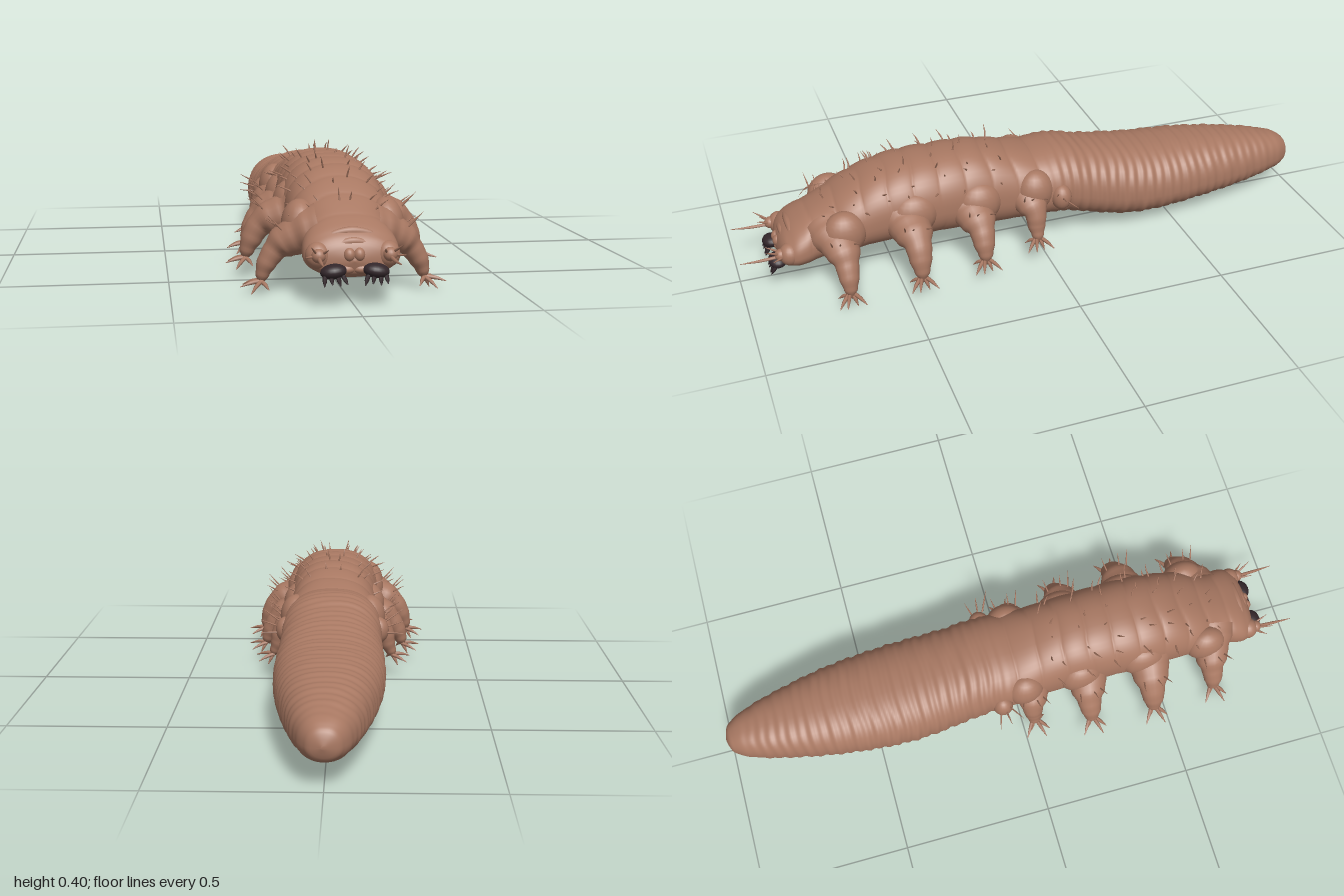
import * as THREE from 'three';
import { mergeGeometries, mergeVertices } from 'three/addons/utils/BufferGeometryUtils.js';

const skin = new THREE.MeshStandardMaterial({ color: 0xa87862 });
skin.name = 'brown skin';
const dark = new THREE.MeshStandardMaterial({ color: 0x32262a });
dark.name = 'dark jaw';

// Body stations along z: half-width, top, bottom
const STATIONS = [
  [-1, 0.008, 0.14, 0.125], [-0.992, 0.035, 0.165, 0.1], [-0.97, 0.058, 0.188, 0.08],
  [-0.9, 0.09, 0.213, 0.064], [-0.8, 0.118, 0.235, 0.05], [-0.6, 0.157, 0.262, 0.035],
  [-0.4, 0.174, 0.275, 0.026], [-0.3, 0.172, 0.29, 0.034], [-0.2, 0.166, 0.308, 0.058],
  [-0.1, 0.164, 0.332, 0.085], [0, 0.16, 0.33, 0.092], [0.1, 0.152, 0.35, 0.088],
  [0.2, 0.152, 0.37, 0.09], [0.32, 0.155, 0.372, 0.095], [0.45, 0.157, 0.368, 0.098],
  [0.55, 0.152, 0.347, 0.098], [0.65, 0.145, 0.305, 0.09], [0.73, 0.125, 0.263, 0.08],
  [0.79, 0.136, 0.232, 0.075], [0.83, 0.132, 0.208, 0.076], [0.855, 0.112, 0.185, 0.085],
  [0.868, 0.07, 0.16, 0.1], [0.875, 0.004, 0.132, 0.126],
];
const profile = new THREE.CubicInterpolant(
  STATIONS.map((s) => s[0]), STATIONS.flatMap((s) => s.slice(1)), 3, new Float32Array(3));
const smooth = THREE.MathUtils.smoothstep;
const power = (v, e) => Math.sign(v) * Math.abs(v) ** e;

// Skin folds: fine rings on the abdomen, broad creased plates on the thorax
function folds(z, a) {
  const back = 1 - smooth(z, -0.1, 0.0);
  const wob = 0.7 * Math.sin(3 * a + 6 * z) + 0.5 * Math.sin(5 * a - 11 * z);
  const rings = 0.013 * Math.sin((z * 2 * Math.PI) / 0.034 + wob)
    + 0.008 * Math.sin((z * 2 * Math.PI) / 0.081 - wob);
  const plates = 0.045 * (Math.sqrt(Math.abs(Math.sin((z * Math.PI) / 0.085 + 0.25 * wob))) - 0.75);
  const upper = 0.35 + 0.65 * Math.max(0, Math.sin(a));
  return 1 + rings * back * smooth(z, -1, -0.85) + plates * (1 - back) * upper * (1 - smooth(z, 0.82, 0.87));
}

function bodyPoint(z, a) {
  const [w, top, bottom] = profile.evaluate(z);
  const c = Math.cos(a), s = Math.sin(a);
  const mid = bottom + (top - bottom) * 0.44;
  const e = s > 0 ? 0.86 : 0.95;
  const k = folds(z, a);
  return new THREE.Vector3(
    w * power(c, e) * k, mid + (s > 0 ? top - mid : mid - bottom) * power(s, e) * k, z);
}

function bodyGeometry() {
  const rings = 440, sides = 48, pos = [], index = [];
  for (let i = 0; i <= rings; i++) {
    const z = -1 + (1.875 * i) / rings;
    for (let j = 0; j < sides; j++) pos.push(...bodyPoint(z, (j / sides) * Math.PI * 2).toArray());
  }
  for (let i = 0; i < rings; i++) {
    for (let j = 0; j < sides; j++) {
      const a = i * sides + j, b = i * sides + ((j + 1) % sides);
      index.push(a, b, a + sides, b, b + sides, a + sides);
    }
  }
  // close both ends
  const last = rings * sides;
  for (let j = 1; j < sides - 1; j++) {
    index.push(0, j + 1, j, last, last + j, last + j + 1);
  }
  const g = new THREE.BufferGeometry();
  g.setAttribute('position', new THREE.Float32BufferAttribute(pos, 3));
  g.setIndex(index);
  g.computeVertexNormals();
  return g;
}

// Tube with a varying radius, optionally stretched along z
function taper(points, radii, steps, sides, zStretch = 1) {
  const curve = new THREE.CatmullRomCurve3(points.map((p) => new THREE.Vector3(...p)));
  const g = new THREE.TubeGeometry(curve, steps, 1, sides);
  const p = g.attributes.position, v = new THREE.Vector3();
  for (let i = 0; i <= steps; i++) {
    const c = curve.getPointAt(i / steps);
    const f = (i / steps) * (radii.length - 1), n = Math.min(Math.floor(f), radii.length - 2);
    const t = f - n;
    const r = THREE.MathUtils.lerp(radii[n], radii[n + 1], radii.length > 3 ? t * t * (3 - 2 * t) : t);
    for (let j = 0; j <= sides; j++) {
      const k = i * (sides + 1) + j;
      v.fromBufferAttribute(p, k).sub(c).multiplyScalar(r);
      p.setXYZ(k, c.x + v.x, c.y + v.y, c.z + v.z * zStretch);
    }
  }
  g.deleteAttribute('uv');
  g.deleteAttribute('normal');
  const out = mergeVertices(g, 1e-5);
  out.computeVertexNormals();
  return out;
}

// Thin curved spike from a base along a direction, bending by an offset
function spike(base, dir, r, bend = [0, 0, 0]) {
  const at = (t) => base.map((b, i) => b + dir[i] * t + bend[i] * t * t);
  return taper([at(0), at(0.5), at(1)], [r, r * 0.85, r * 0.15], 6, 6);
}

export function createModel() {
  const model = new THREE.Group();
  model.name = 'mite';
  const add = (name, geometry, material = skin, parent = model) => {
    const m = new THREE.Mesh(geometry, material);
    m.name = name;
    parent.add(m);
    return m;
  };
  const blob = (name, x, y, z, sx, sy, sz, material = skin) => {
    const m = add(name, new THREE.SphereGeometry(1, 20, 14), material);
    m.position.set(x, y, z);
    m.scale.set(sx, sy, sz);
    return m;
  };

  add('body', bodyGeometry());

  // Legs: z, foot x, foot y, knee x, knee y, size
  const LEGS = [
    [0.68, 0.24, 0.045, 0.185, 0.145, 0.92], [0.45, 0.265, 0.07, 0.215, 0.17, 1.05],
    [0.23, 0.245, 0.075, 0.195, 0.165, 1], [0.035, 0.205, 0.09, 0.175, 0.17, 0.85],
  ];
  for (const s of [1, -1]) {
    const side = s > 0 ? 'left' : 'right';
    LEGS.forEach(([z, fx, fy, kx, ky, k], i) => {
      const leg = new THREE.Group();
      leg.name = `${side}Leg${i + 1}`;
      model.add(leg);
      add('limb', taper(
        [[s * 0.07, ky + 0.045, z + 0.02], [s * 0.13, ky + 0.03, z + 0.01], [s * kx, ky, z],
          [s * (fx - 0.015), (ky + fy) / 2 - 0.005, z], [s * fx, fy, z], [s * (fx + 0.006), fy - 0.022, z]],
        [0.085, 0.078, 0.06, 0.053, 0.037, 0.032, 0.022, 0].map((r) => r * k), 36, 20, 1.12), skin, leg);
      // Hip fold behind the limb
      const hip = add('hip', new THREE.SphereGeometry(1, 20, 14), skin, leg);
      hip.position.set(s * 0.125, ky + 0.055, z - 0.015);
      hip.scale.set(0.055, 0.075, 0.078 * k);
      // Claws fan out from the foot
      const claws = [[0.062, -0.012, 0.02], [0.05, -0.018, -0.03], [0.032, -0.03, 0.035],
        [0.02, -0.036, -0.012], [-0.02, -0.022, 0.03]];
      add('claws', mergeGeometries(claws.map(([x, y, dz]) => spike(
        [s * fx, fy - 0.004, z + dz * 0.3], [s * x, y + 0.012, dz], 0.007, [0, -0.012, 0]))), skin, leg);
      // Bristles on the outer knee
      add('legBristles', mergeGeometries([-0.03, 0.012, 0.035].map((dz, n) => spike(
        [s * (kx - 0.01), ky + 0.04, z + dz], [s * 0.05, 0.03 + 0.012 * n, dz * 0.4], 0.003))), skin, leg);
    });

    // Flank bump behind the last leg
    blob(`${side}FlankBump`, s * 0.155, 0.2, -0.065, 0.036, 0.045, 0.035);
    add(`${side}FlankBristles`, mergeGeometries([-0.012, 0.004, 0.02].map((d) => spike(
      [s * 0.18, 0.205 + d, -0.065 + d], [s * 0.06, 0.016 + d, d * 1.5], 0.003))));

    // Dark jaws with small teeth
    blob(`${side}Jaw`, s * 0.06, 0.103, 0.878, 0.037, 0.021, 0.03, dark).rotation.z = s * -0.12;
    add(`${side}JawTeeth`, mergeGeometries([-0.025, -0.008, 0.01, 0.025].map((x, n) => spike(
      [s * 0.06 + x, 0.092, 0.89], [x * 0.3 - s * 0.004, -0.026 + 0.004 * (n % 2), 0.016], 0.007))), dark);

    // Feelers beside the jaws
    blob(`${side}Cheek`, s * 0.098, 0.142, 0.842, 0.036, 0.038, 0.034);
    blob(`${side}FeelerBase`, s * 0.1, 0.146, 0.87, 0.02, 0.02, 0.02);
    add(`${side}Feelers`, mergeGeometries([
      spike([s * 0.1, 0.14, 0.875], [s * 0.005, -0.008, 0.125], 0.006, [0, 0.01, 0]),
      spike([s * 0.105, 0.15, 0.87], [s * 0.022, 0.03, 0.05], 0.004),
      spike([s * 0.112, 0.142, 0.865], [s * 0.028, 0.006, 0.035], 0.004),
      spike([s * 0.09, 0.15, 0.87], [s * -0.012, 0.02, 0.045], 0.004)]));

    // Snout halves
    blob(`${side}Nostril`, s * 0.014, 0.146, 0.864, 0.017, 0.02, 0.018);
    blob(`${side}Lip`, s * 0.022, 0.105, 0.856, 0.028, 0.015, 0.02);
  }

  // Brow folds over the face
  [[0.068, 0.16, 0.848], [0.092, 0.185, 0.825]].forEach(([w, y, z], i) => add(`browFold${i + 1}`, taper(
    [[-w, y - 0.012, z], [-w * 0.55, y + 0.012, z], [0, y + 0.02, z], [w * 0.55, y + 0.012, z], [w, y - 0.012, z]],
    [0.003, 0.011, 0.013, 0.011, 0.003], 20, 10)));

  // Rows of bristles over the back
  const bristles = [];
  [0.14, 0.25, 0.34, 0.45, 0.53, 0.61, 0.7].forEach((z, row) => {
    for (let n = 0; n < 8; n++) {
      const a = 0.5 + (2.14 * (n + 0.25 * Math.sin(row * 5 + n * 3))) / 7;
      const at = z + 0.018 * Math.sin(n * 2.3 + row);
      const base = bodyPoint(at, a);
      const len = 0.038 + 0.014 * Math.sin(n * 4.1 + row * 2.7);
      base.y -= 0.004;
      bristles.push(spike(base.toArray(),
        [Math.cos(a) * len, Math.sin(a) * len * 0.8, 0.012 * Math.sin(row + n)], 0.003, [0.006 * Math.cos(a), 0, 0.008]));
    }
  });
  add('backBristles', mergeGeometries(bristles));
  return model;
}
